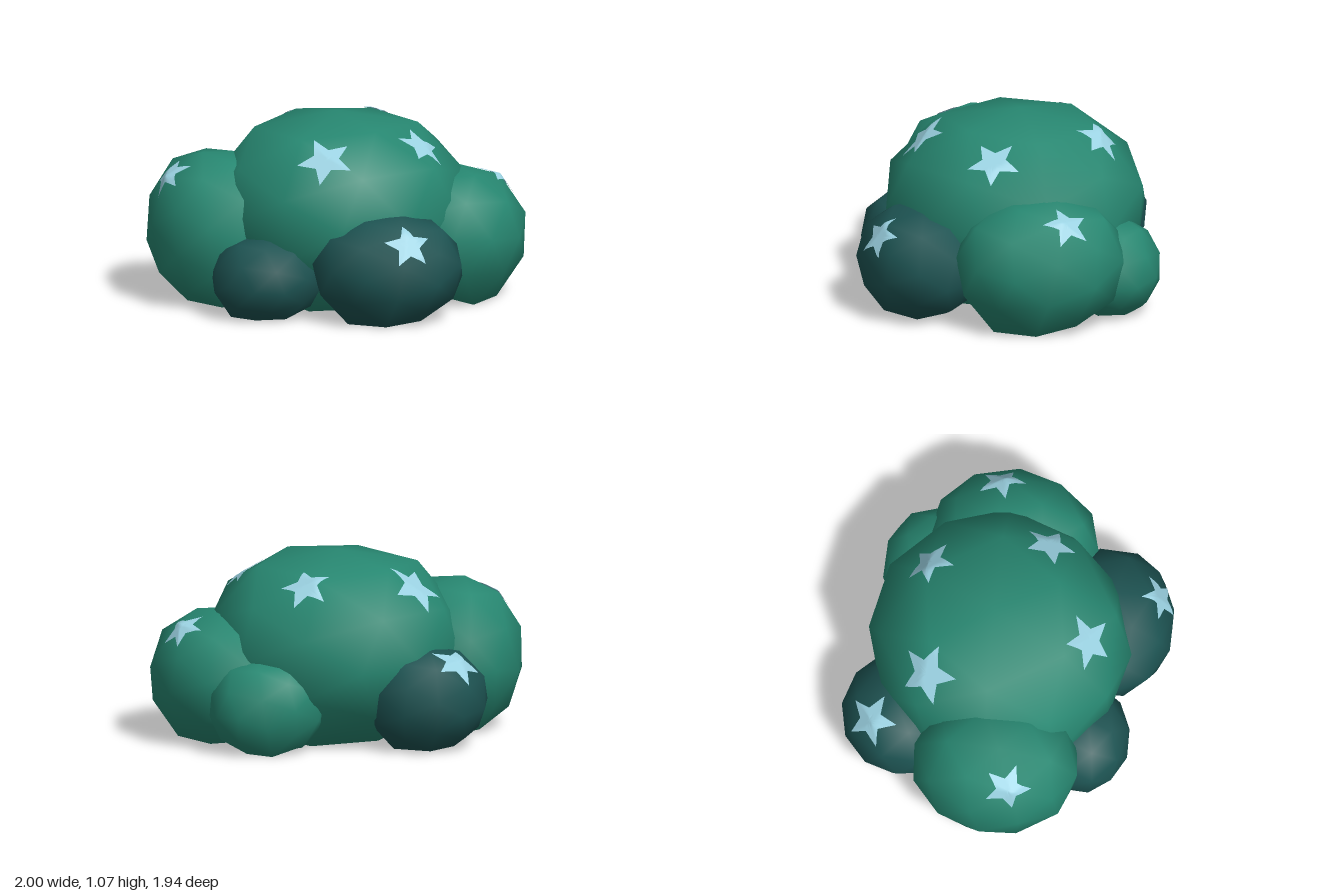
import * as THREE from 'three';

const mat = (name, color) => {
  const m = new THREE.MeshStandardMaterial({ color });
  m.name = name;
  return m;
};

const BULGE = 2.4; // fullness of the upper half, 2 would be a plain ellipsoid

// Low-poly, smoothly shaded clump: fuller above its waist, underside pressed flat on the ground.
// radii are half-widths along its own axes before it is turned about the vertical.
function clumpGeometry([cx, cz], [rx, rz], top, tilt, turn) {
  const g = new THREE.IcosahedronGeometry(1, 1);
  g.rotateX(tilt[0]).rotateZ(tilt[2]).rotateY(tilt[1]);
  const p = g.attributes.position;
  const v = new THREE.Vector3();
  for (let i = 0; i < p.count; i++) {
    v.fromBufferAttribute(p, i);
    if (v.y > 0) {
      const norm = Math.hypot(v.x, v.z) ** BULGE + v.y ** BULGE;
      v.multiplyScalar(norm ** (-1 / BULGE));
    }
    p.setXYZ(i, v.x, v.y, v.z);
  }
  g.computeBoundingBox();
  const mid = g.boundingBox.getCenter(new THREE.Vector3());
  const half = g.boundingBox.getSize(new THREE.Vector3()).multiplyScalar(0.5);
  const radii = new THREE.Vector3(rx, 0.53 * top, rz);

  const normals = [];
  for (let i = 0; i < p.count; i += 3) {
    const face = [];
    for (let k = 0; k < 3; k++) {
      v.fromBufferAttribute(p, i + k).sub(mid).divide(half);
      const n = v.clone();
      if (v.y > 0) {
        const w = Math.hypot(v.x, v.z) ** (BULGE - 2);
        n.set(v.x * w, v.y ** (BULGE - 1), v.z * w);
      }
      face.push(n.divide(radii).normalize());
      v.multiply(radii);
      v.y += 0.47 * top;
      if (v.y < 0.07 * top) v.y = 0;
      p.setXYZ(i + k, v.x, v.y, v.z);
    }
    const flat = p.getY(i) + p.getY(i + 1) + p.getY(i + 2) === 0;
    for (const n of face) normals.push(...(flat ? [0, -1, 0] : n.toArray()));
  }
  g.setAttribute('normal', new THREE.Float32BufferAttribute(normals, 3));
  g.rotateY(turn).translate(cx, 0, cz);
  g.computeBoundingBox();
  g.computeBoundingSphere();
  return g;
}

// Five-pointed star draped over a clump; (x, z) is its centre seen from above
function starGeometry(clump, x, z, radius) {
  const ray = new THREE.Raycaster();
  const cast = (from, dir) => {
    ray.set(from, dir);
    return ray.intersectObject(clump)[0];
  };
  const centre = cast(new THREE.Vector3(x, 3, z), new THREE.Vector3(0, -1, 0));
  const n = centre.normal.clone().normalize();
  const up = new THREE.Vector3(0, 0, -1).projectOnPlane(n).normalize();
  const side = n.clone().cross(up);
  const inward = n.clone().negate();

  const drape = (a, b) => {
    const q = centre.point.clone().addScaledVector(up, a).addScaledVector(side, b);
    const hit = cast(q.clone().addScaledVector(n, 1), inward);
    return (hit ? hit.point : q).addScaledVector(n, 0.007).toArray();
  };

  // Outline with each edge split, then rings from the centre outwards
  const corner = (i) => {
    const r = i % 2 ? radius * 0.46 : radius;
    const a = (i * Math.PI) / 5;
    return new THREE.Vector2(r * Math.cos(a), r * Math.sin(a));
  };
  const outline = [];
  const split = 3, rings = 6;
  for (let i = 0; i < 10; i++) {
    for (let k = 0; k < split; k++) outline.push(corner(i).lerp(corner(i + 1), k / split));
  }
  const count = outline.length;
  const positions = [...drape(0, 0)];
  const index = [];
  for (let r = 1; r <= rings; r++) {
    for (const o of outline) positions.push(...drape((o.x * r) / rings, (o.y * r) / rings));
    for (let i = 0; i < count; i++) {
      const a = 1 + (r - 1) * count + i;
      const b = 1 + (r - 1) * count + ((i + 1) % count);
      if (r === 1) index.push(0, a, b);
      else index.push(a - count, a, b, a - count, b, b - count);
    }
  }
  const g = new THREE.BufferGeometry();
  g.setAttribute('position', new THREE.Float32BufferAttribute(positions, 3));
  g.setIndex(index);
  g.computeVertexNormals();
  return g;
}

export function createModel() {
  const group = new THREE.Group();
  group.name = 'bush';
  const leaf = mat('leafGreen', 0x278771);
  const dark = mat('darkTeal', 0x1d5352);
  const pale = mat('paleBlue', 0x9bd2e2);
  pale.side = THREE.DoubleSide;
  const diagonal = Math.PI / 4;

  // Clumps: centre (x, z), radii, top, facet tilt, turn; stars: x, z, radius
  const clumps = [
    { name: 'mainClump', m: leaf, at: [0, 0], radii: [0.72, 0.74], top: 1.07, tilt: [0, -0.25, 0.05], turn: 0,
      stars: [[-0.11, -0.5, 0.15], [-0.54, 0, 0.18], [0.49, -0.15, 0.155], [0.29, 0.44, 0.165]] },
    { name: 'frontRightClump', m: leaf, at: [-0.475, 0.535], radii: [0.47, 0.385], top: 0.855,
      tilt: [0.15, 0.9, 0.1], turn: -diagonal, stars: [[-0.6, 0.79, 0.14]] },
    { name: 'backLeftClump', m: leaf, at: [0.47, -0.45], radii: [0.49, 0.41], top: 0.74,
      tilt: [-0.1, 0.5, 0.15], turn: -diagonal, stars: [[0.59, -0.7, 0.14]] },
    { name: 'backClump', m: leaf, at: [0.05, -0.655], radii: [0.33, 0.28], top: 0.53,
      tilt: [0.1, 0.3, -0.1], turn: diagonal, stars: [] },
    { name: 'frontClump', m: dark, at: [0.045, 0.67], radii: [0.31, 0.27], top: 0.46,
      tilt: [0.12, 1.3, 0.08], turn: diagonal, stars: [] },
    { name: 'leftClump', m: dark, at: [0.605, 0.265], radii: [0.43, 0.35], top: 0.61,
      tilt: [0.1, 0.7, -0.12], turn: diagonal, stars: [[0.87, 0.38, 0.14]] },
    { name: 'rightClump', m: dark, at: [-0.65, -0.07], radii: [0.35, 0.355], top: 0.57,
      tilt: [-0.12, 0.2, 0.1], turn: 0, stars: [[-0.88, -0.1, 0.155]] },
  ];

  for (const c of clumps) {
    const mesh = new THREE.Mesh(clumpGeometry(c.at, c.radii, c.top, c.tilt, c.turn), c.m);
    mesh.name = c.name;
    group.add(mesh);
    c.stars.forEach(([x, z, r], i) => {
      const star = new THREE.Mesh(starGeometry(mesh, x, z, r), pale);
      star.name = `${c.name}Star${i + 1}`;
      group.add(star);
    });
  }
  return group;
}
